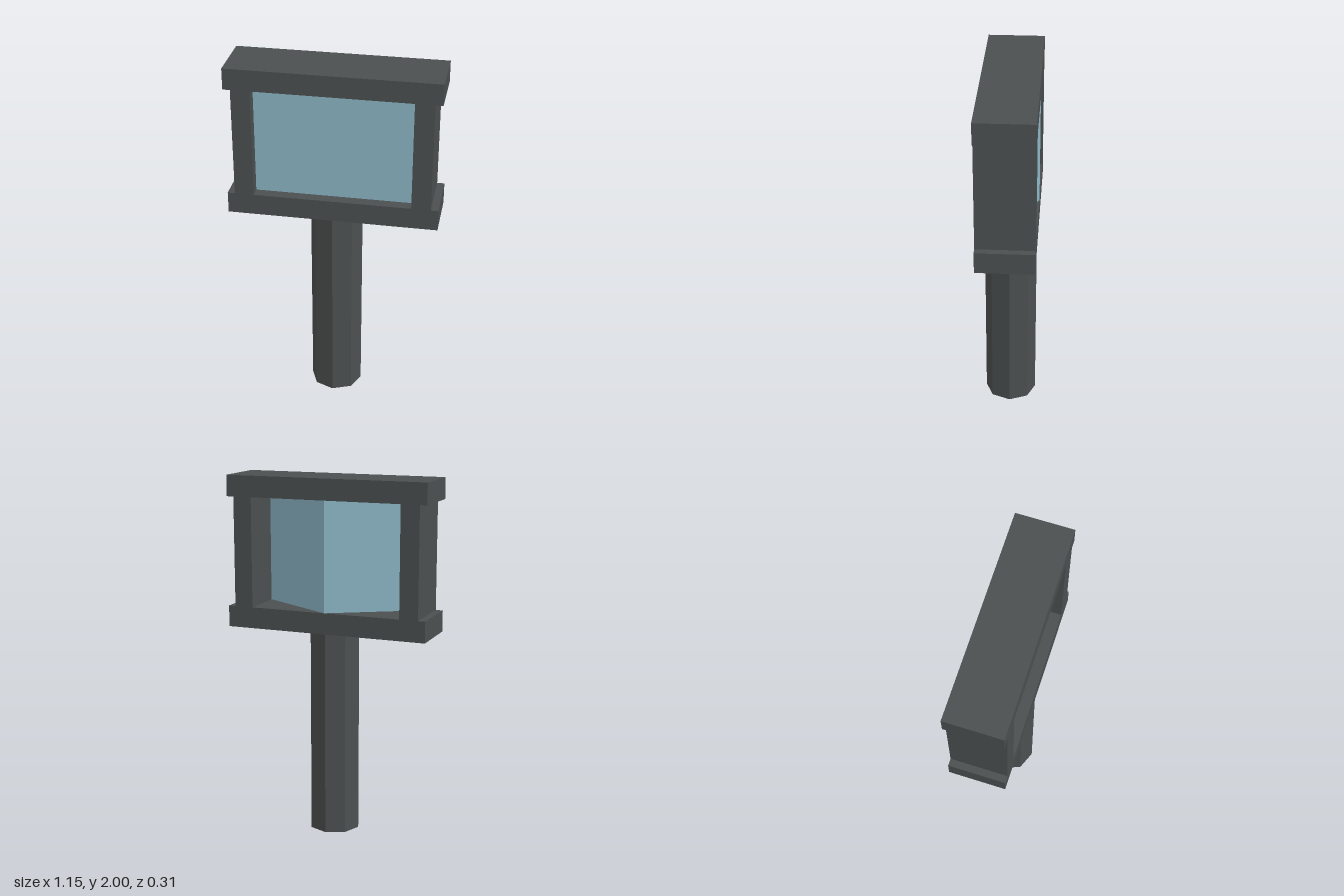
import * as THREE from 'three';

export function createModel() {
  const dark = new THREE.MeshStandardMaterial({ color: 0x4b4f4f });
  dark.name = 'darkGrey';
  const glass = new THREE.MeshStandardMaterial({ color: 0x8bb5c4 });
  glass.name = 'paleBlue';

  const model = new THREE.Group();
  model.name = 'signPost';
  const add = (name, geometry, material) => {
    const mesh = new THREE.Mesh(geometry, material);
    mesh.name = name;
    model.add(mesh);
    return mesh;
  };
  const shapeOf = (pts) => new THREE.Shape(pts.map(([x, y]) => new THREE.Vector2(x, y)));

  const halfDepth = 0.157;
  const bottom = 1.155, low = 1.273, high = 1.883, top = 2; // frame heights
  const barX = 0.575, sideX = 0.535, holeX = 0.43;          // half widths

  // Octagonal post
  const post = new THREE.CylinderGeometry(0.145, 0.145, bottom, 8).toNonIndexed();
  post.computeVertexNormals();
  add('post', post, dark).position.y = bottom / 2;

  // Frame with overhanging top and bottom rails and an open window
  const right = [[barX, bottom], [barX, low], [sideX, low], [sideX, high], [barX, high], [barX, top]];
  const left = right.map(([x, y]) => [-x, y]).reverse();
  const outline = shapeOf([...right, ...left]);
  outline.holes.push(shapeOf([[-holeX, low], [-holeX, high], [holeX, high], [holeX, low]]));
  const frame = new THREE.ExtrudeGeometry(outline, { depth: 2 * halfDepth, bevelEnabled: false });
  frame.translate(0, 0, -halfDepth);
  add('frame', frame, dark);

  // Wedge screen: flat recessed front, ridge flush with the back of the frame
  const frontZ = 0.095;
  const wedge = shapeOf([[-holeX, -frontZ], [holeX, -frontZ], [0, halfDepth]]);
  const screen = new THREE.ExtrudeGeometry(wedge, { depth: high - low, bevelEnabled: false });
  screen.rotateX(-Math.PI / 2);
  screen.translate(0, low, 0);
  add('screen', screen, glass);

  return model;
}
